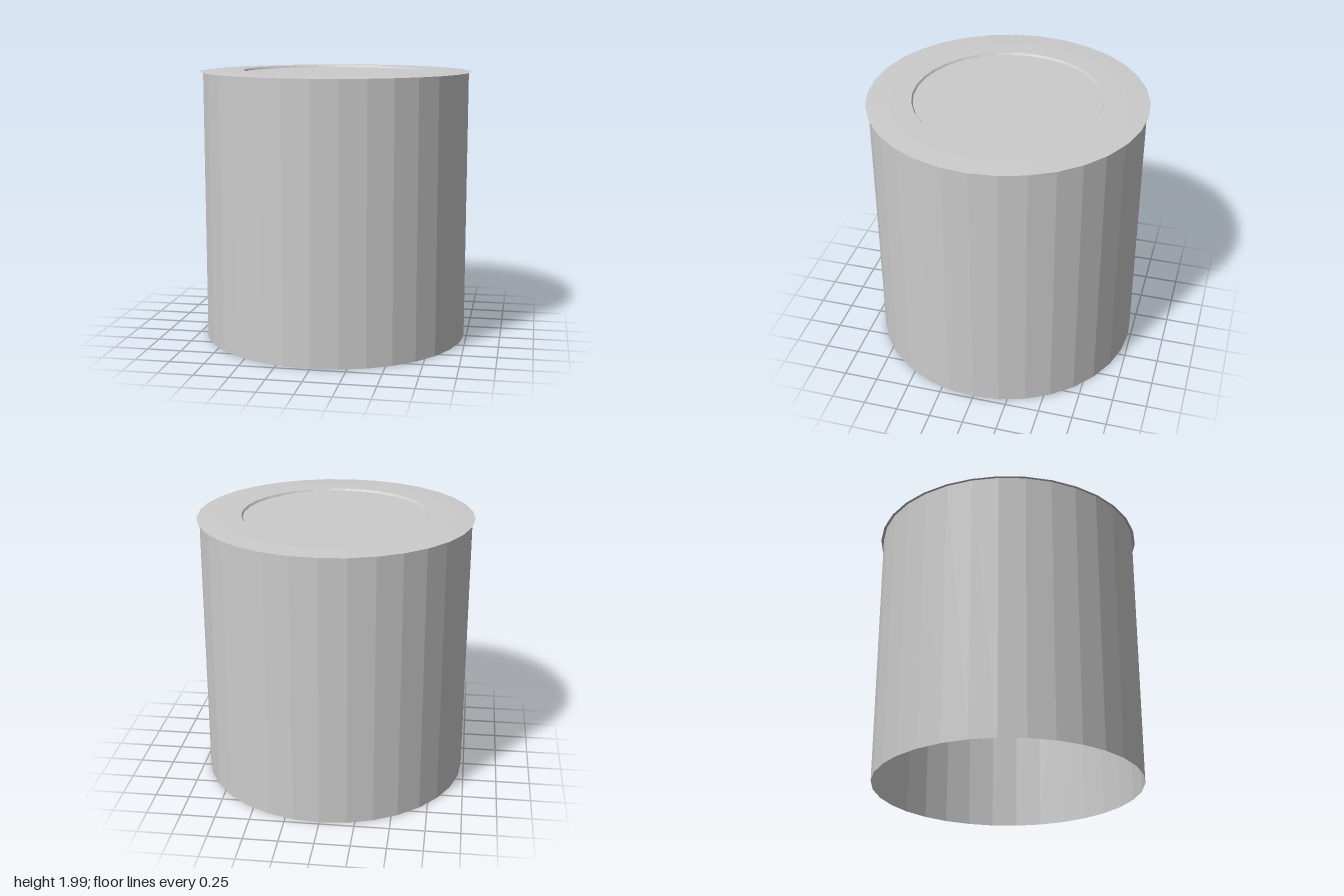
import * as THREE from 'three';

const SIDES = 32;

export function createModel() {
  const model = new THREE.Group();
  model.name = 'canister';
  const material = new THREE.MeshStandardMaterial({
    color: 0xcccccc, flatShading: true, side: THREE.DoubleSide,
  });

  // Turns a profile of [radius, height] points around the y axis
  const turned = (name, profile) => {
    const points = profile.map(([r, y]) => new THREE.Vector2(r, y));
    const mesh = new THREE.Mesh(new THREE.LatheGeometry(points, SIDES), material);
    mesh.name = name;
    model.add(mesh);
  };

  // Thin wall, open at the bottom
  turned('wall', [[0.98, 0], [0.98, 1.978]]);

  // Lid: thin overhanging rim, gentle rise, shallow round recess
  turned('lid', [
    [1, 1.978], [0.98, 1.979], [0.84, 1.986], [0.68, 1.987], [0.67, 1.972], [0, 1.972],
  ]);

  return model;
}
